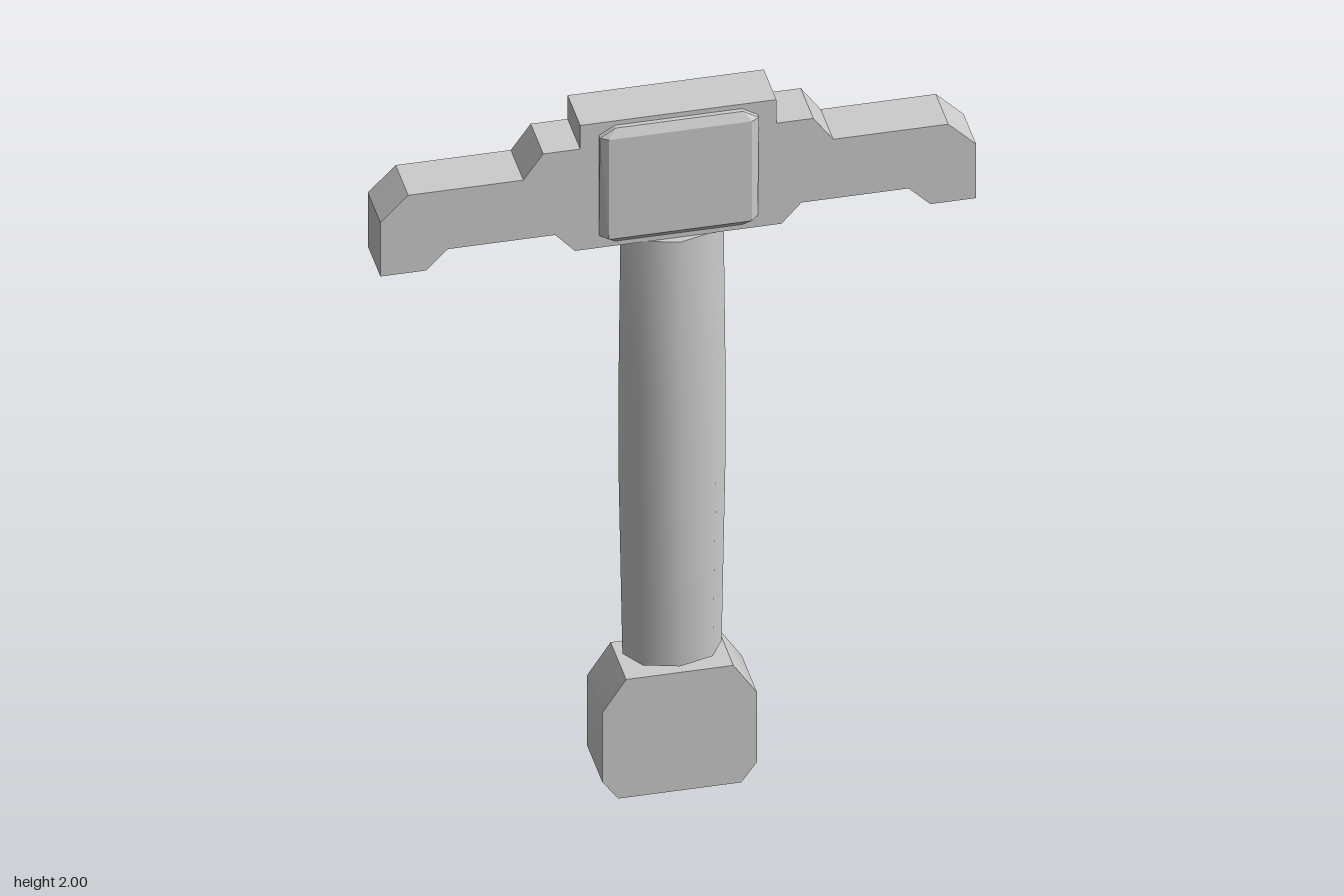
import * as THREE from 'three';
import { toCreasedNormals } from 'three/addons/utils/BufferGeometryUtils.js';
import { ConvexGeometry } from 'three/addons/geometries/ConvexGeometry.js';

const metal = new THREE.MeshStandardMaterial({ name: 'grey metal', color: 0xcccccc });

// Plate extruded along z from the right half of a symmetric outline (top to bottom)
function plate(name, half, depth, crease) {
  const mirrored = half.map(([x, y]) => [-x, y]).reverse();
  const shape = new THREE.Shape([...half, ...mirrored].map(([x, y]) => new THREE.Vector2(x, y)));
  const geo = new THREE.ExtrudeGeometry(shape, { depth, bevelEnabled: false });
  geo.translate(0, 0, -depth / 2);
  return part(name, toCreasedNormals(geo, crease));
}

function part(name, geometry) {
  const mesh = new THREE.Mesh(geometry, metal);
  mesh.name = name;
  return mesh;
}

export function createModel() {
  const model = new THREE.Group();
  model.name = 'hilt';

  // Stepped crossguard with hooked ends
  model.add(plate('crossguard', [
    [0.247, 2], [0.247, 1.93], [0.34, 1.93], [0.39, 1.86], [0.68, 1.86], [0.75, 1.79],
    [0.75, 1.63], [0.635, 1.63], [0.58, 1.685], [0.31, 1.685], [0.26, 1.63],
  ], 0.135, 0.2));

  // Bevelled blocks on the front and back of the guard
  for (const side of [1, -1]) {
    const points = [];
    const add = (x, y, z) => points.push(new THREE.Vector3(x, y, z * side));
    for (const s of [1, -1]) {
      add(s * 0.18, 1.963, 0.093);
      add(s * 0.18, 1.668, 0.093);
      for (const z of [0.06, 0.08]) {
        add(s * 0.2, 1.963, z);
        add(s * 0.16, 1.987, z);
      }
      for (const z of [0.06, 0.07]) {
        add(s * 0.16, 1.645, z);
        add(s * 0.2, 1.668, z);
      }
    }
    model.add(part(side > 0 ? 'frontBlock' : 'backBlock', new ConvexGeometry(points)));
  }

  // Grip: flattened eight-sided column, swelling a little in the middle
  const profile = [[0, 0.37], [0.125, 0.37], [0.135, 0.93], [0.135, 1.15], [0.13, 1.63], [0, 1.63]];
  const grip = new THREE.LatheGeometry(profile.map(([r, y]) => new THREE.Vector2(r, y)), 8);
  grip.scale(1, 1, 0.69);
  model.add(part('grip', toCreasedNormals(grip, 1)));

  // Pommel with cut corners, softened at the shoulders
  model.add(plate('pommel', [
    [0.135, 0.35], [0.195, 0.26], [0.195, 0.055], [0.155, 0],
  ], 0.167, 0.61));

  return model;
}
